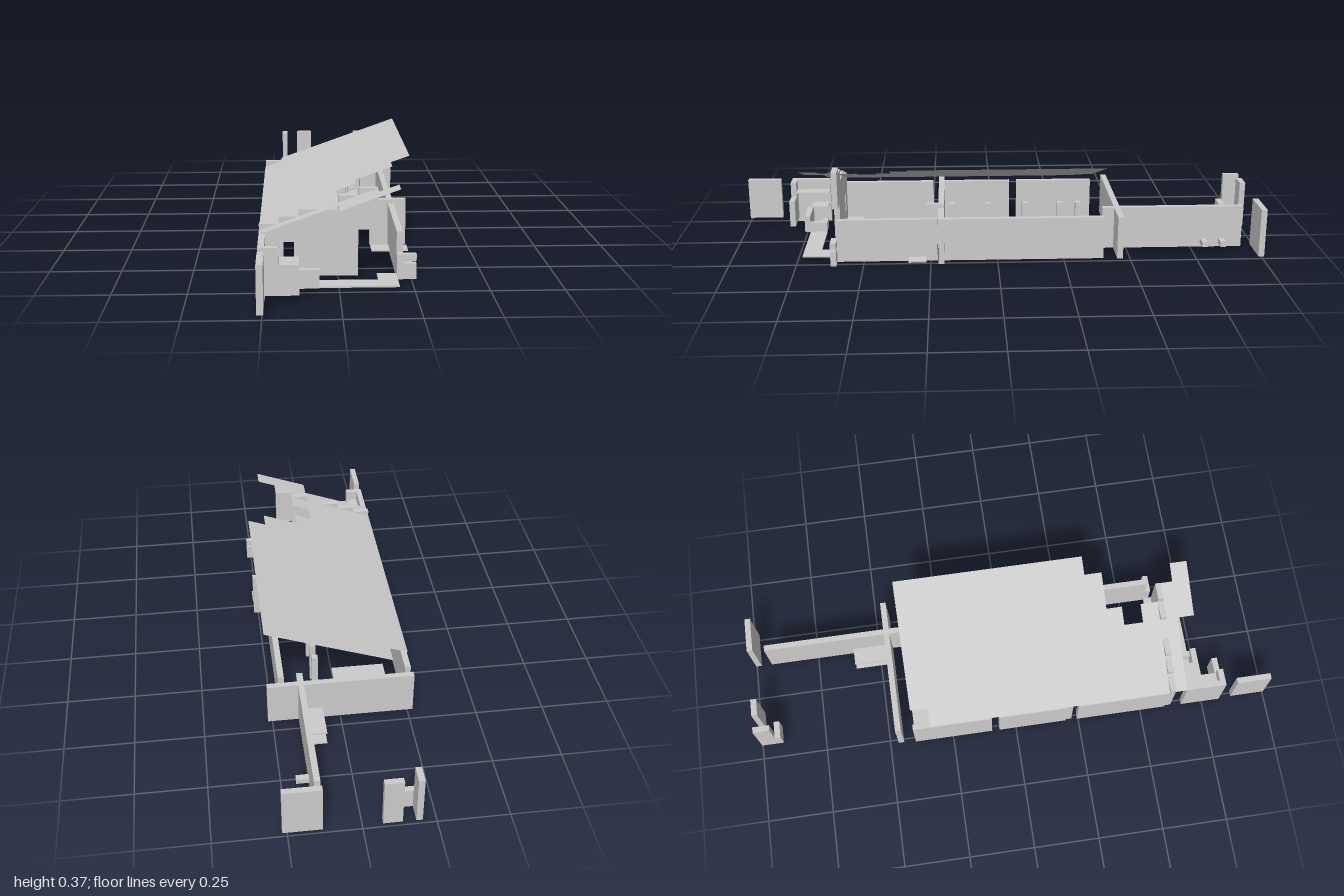
import * as THREE from 'three';

const mat = new THREE.MeshStandardMaterial({ color: 0xcccccc, flatShading: true });
const matDouble = new THREE.MeshStandardMaterial({ color: 0xcccccc, flatShading: true, side: THREE.DoubleSide });

export function createModel() {
  const model = new THREE.Group();
  model.name = 'ruinedBuilding';

  // box given by its extents
  function box(name, x0, x1, y0, y1, z0, z1) {
    const mesh = new THREE.Mesh(new THREE.BoxGeometry(x1 - x0, y1 - y0, z1 - z0), mat);
    mesh.position.set((x0 + x1) / 2, (y0 + y1) / 2, (z0 + z1) / 2);
    mesh.name = name;
    model.add(mesh);
  }
  const slab = (name, x0, x1, z0, z1, y = 0.01) => box(name, x0, x1, y, y + 0.006, z0, z1);

  const T = 0.022; // wall thickness
  const B = 0.016; // top of the floor
  const H = 0.178; // wall height
  const E = 0.163; // eaves height
  const W = 0.267; // half width

  // sloping roof sheet with a broken, stepped outline
  const outline = [
    [-0.2, -0.4], [W, -0.4], [W, 0.333], [0.2, 0.333], [0.2, 0.4], [0.067, 0.4], [0.067, 0.46],
    [0, 0.46], [0, 0.533], [0.067, 0.533], [0.067, 0.6], [0.133, 0.6], [0.133, 0.667], [0.2, 0.667],
    [0.2, 0.733], [0, 0.733], [0, 0.667], [-W, 0.667], [-W, -0.333], [-0.2, -0.333],
  ];
  const roofGeo = new THREE.ShapeGeometry(new THREE.Shape(outline.map(([x, z]) => new THREE.Vector2(x, z))));
  roofGeo.rotateX(Math.PI / 2);
  const pos = roofGeo.attributes.position;
  for (let i = 0; i < pos.count; i++) pos.setY(i, 0.273 + 0.356 * pos.getX(i));
  roofGeo.computeVertexNormals();
  const roof = new THREE.Mesh(roofGeo, matDouble);
  roof.name = 'roof';
  model.add(roof);

  // stepped gable wall with a small window
  const gable = new THREE.Shape([
    [-W, B], [0.067, B], [0.067, H], [0.133, H], [0.133, 0.322], [0.067, 0.322], [0.067, 0.297],
    [0, 0.297], [0, 0.249], [-0.133, 0.249], [-0.133, 0.225], [-0.2, 0.225], [-0.2, 0.2], [-W, 0.2],
  ].map(([x, y]) => new THREE.Vector2(x, y)));
  gable.holes.push(new THREE.Path([
    [-0.185, 0.07], [-0.185, 0.137], [-0.15, 0.137], [-0.15, 0.07],
  ].map(([x, y]) => new THREE.Vector2(x, y))));
  const gableMesh = new THREE.Mesh(new THREE.ExtrudeGeometry(gable, { depth: T, bevelEnabled: false }), mat);
  gableMesh.position.z = 0.6;
  gableMesh.name = 'gableWall';
  model.add(gableMesh);

  // outer wall panels along the low side
  for (const [z0, z1] of [[-0.4, -0.095], [-0.066, 0.2], [0.245, 0.6]]) {
    box('lowSideWall', -W, -W + T, 0, E, z0, z1);
  }
  box('frontLowSideWall', -W, -W + T, 0, H, 0.667, 0.822);
  box('detachedFrontWall', -W, -W + T, B, H, 0.867, 1);

  // outer wall panels along the high side
  for (const [z0, z1] of [[-0.4, 0.2], [0.225, 0.6]]) {
    box('highSideWall', 0.2, 0.2 + T, 0, E, z0, z1);
  }

  // broken front corner with a slot
  box('cornerBase', 0.2, W, 0, 0.056, 0.6, 0.6 + T);
  box('cornerPier', 0.2, 0.2 + T, 0.056, 0.064, 0.6, 0.6 + T);
  box('cornerSill', 0.2, W, 0.064, 0.088, 0.6, 0.6 + T);

  // cross walls
  box('middleCrossWall', -W, 0.09, B, H, 0.2, 0.2 + T);
  box('middleCrossWall', 0.133, W, 0.003, H, 0.2, 0.2 + T);
  box('middleReturnWall', 0.067, 0.09, B, H, 0.2 + T, 0.267);
  box('rearCrossWall', -W, W, B, H, -0.467, -0.445);

  // row of posts
  for (const z of [0.17, 0.03, -0.11, -0.245, -0.315]) {
    box('post', 0.067, 0.089, B, H, z - 0.011, z + 0.011);
  }

  // long rear wall with brackets and shelf
  box('rearLongWall', 0.133, 0.155, B, H, -0.937, -0.467);
  box('rearLongWallEnd', 0.133, 0.155, B, H, -0.445, -0.4);
  for (const z of [-0.86, -0.79]) box('bracket', 0.155, 0.2, 0.03, 0.05, z - 0.011, z + 0.011);
  slab('rearFloor', 0.067, 0.133, -0.6, -0.467);
  slab('rearShelf', 0.067, 0.133, -0.6, -0.467, 0.057);

  // detached rear wall pieces
  box('rearEndWall', 0.133, W, B, 0.2, -1, -0.978);
  box('rearEndPier', -0.133, -0.067, B, 0.2, -1, -0.978);
  box('rearCornerWall', -0.2, -0.178, B, 0.2, -1, -0.937);
  box('rearCornerLowWall', -0.2, -0.133, B, 0.09, -0.937, -0.915);

  // front porch walls and shelves
  box('porchFrontWall', -W + T, -0.2, B, H, 0.8, 0.822);
  box('porchFrontLowWall', -0.2, -0.133, B, 0.12, 0.8, 0.822);
  box('porchInnerWall', -0.2, -0.067, B, 0.08, 0.733, 0.755);
  box('porchStepWall', -0.133, -0.067, B, 0.052, 0.667, 0.689);
  box('porchStepWall', -0.089, -0.067, B, 0.052, 0.689, 0.733);
  slab('porchHighShelf', -W + T, -0.2, 0.667, 0.8, 0.131);
  slab('porchLowShelf', -0.2, -0.133, 0.667, 0.733, 0.093);

  // floor patches
  slab('floor', -0.2, 0, -0.4, -0.2);
  slab('floor', -0.2, 0, -0.067, 0.133);
  slab('floor', -0.2, -0.067, 0.4, 0.533);
  slab('floor', -0.245, -0.133, 0.533, 0.6);
  slab('frontFloor', -0.067, 0.2, 0.667, 0.733);
  slab('frontFloor', 0.133, 0.2, 0.6, 0.667);
  slab('porchFloor', -0.2, -0.067, 0.689, 0.733);
  slab('doorStep', 0.222, W, 0.267, 0.333);
  slab('innerStep', 0.133, 0.2, 0.267, 0.333);

  return model;
}
